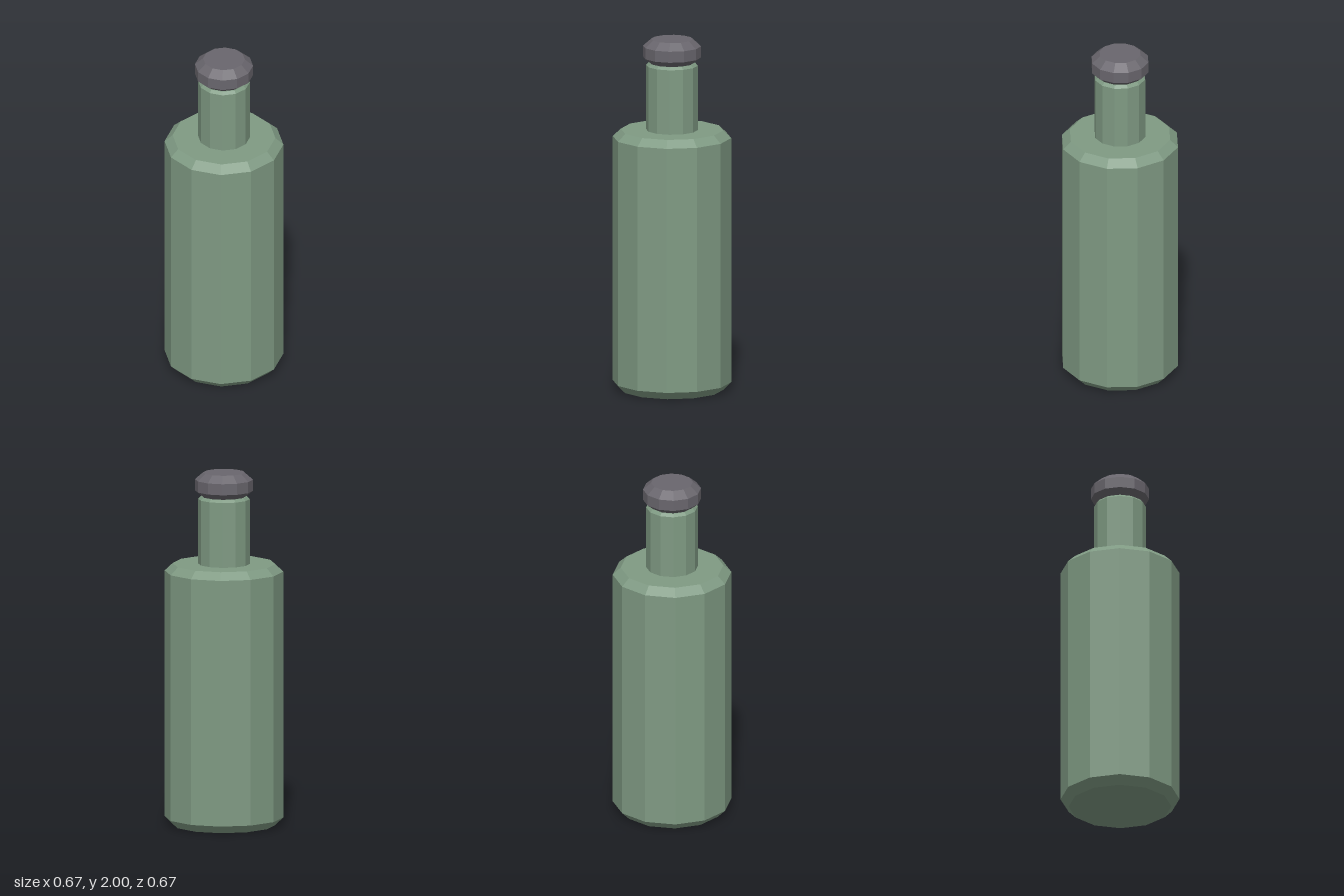
import * as THREE from 'three';

const SIDES = 12;
const green = new THREE.MeshStandardMaterial({ color: 0x7f9a83, flatShading: true });
const grey = new THREE.MeshStandardMaterial({ color: 0x69666d, flatShading: true });

// Closed, faceted solid of revolution from [radius, height] pairs, bottom to top
function turned(name, profile, material) {
  const points = profile.map(([r, y]) => new THREE.Vector2(r, y));
  const geometry = new THREE.LatheGeometry(points, SIDES).toNonIndexed();
  geometry.computeVertexNormals();
  const mesh = new THREE.Mesh(geometry, material);
  mesh.name = name;
  return mesh;
}

export function createModel() {
  const bottle = new THREE.Group();
  bottle.name = 'bottle';

  // Body with chamfered base and shoulder
  bottle.add(turned('body', [
    [0, 0], [0.288, 0], [0.333, 0.045], [0.333, 1.44], [0.288, 1.482], [0, 1.482],
  ], green));

  // Neck, slightly chamfered at the lip
  bottle.add(turned('neck', [
    [0, 1.47], [0.145, 1.47], [0.145, 1.85], [0.13, 1.865], [0, 1.865],
  ], green));

  // Chamfered stopper
  bottle.add(turned('cap', [
    [0, 1.862], [0.12, 1.862], [0.163, 1.897], [0.163, 1.96], [0.117, 2], [0, 2],
  ], grey));

  return bottle;
}
